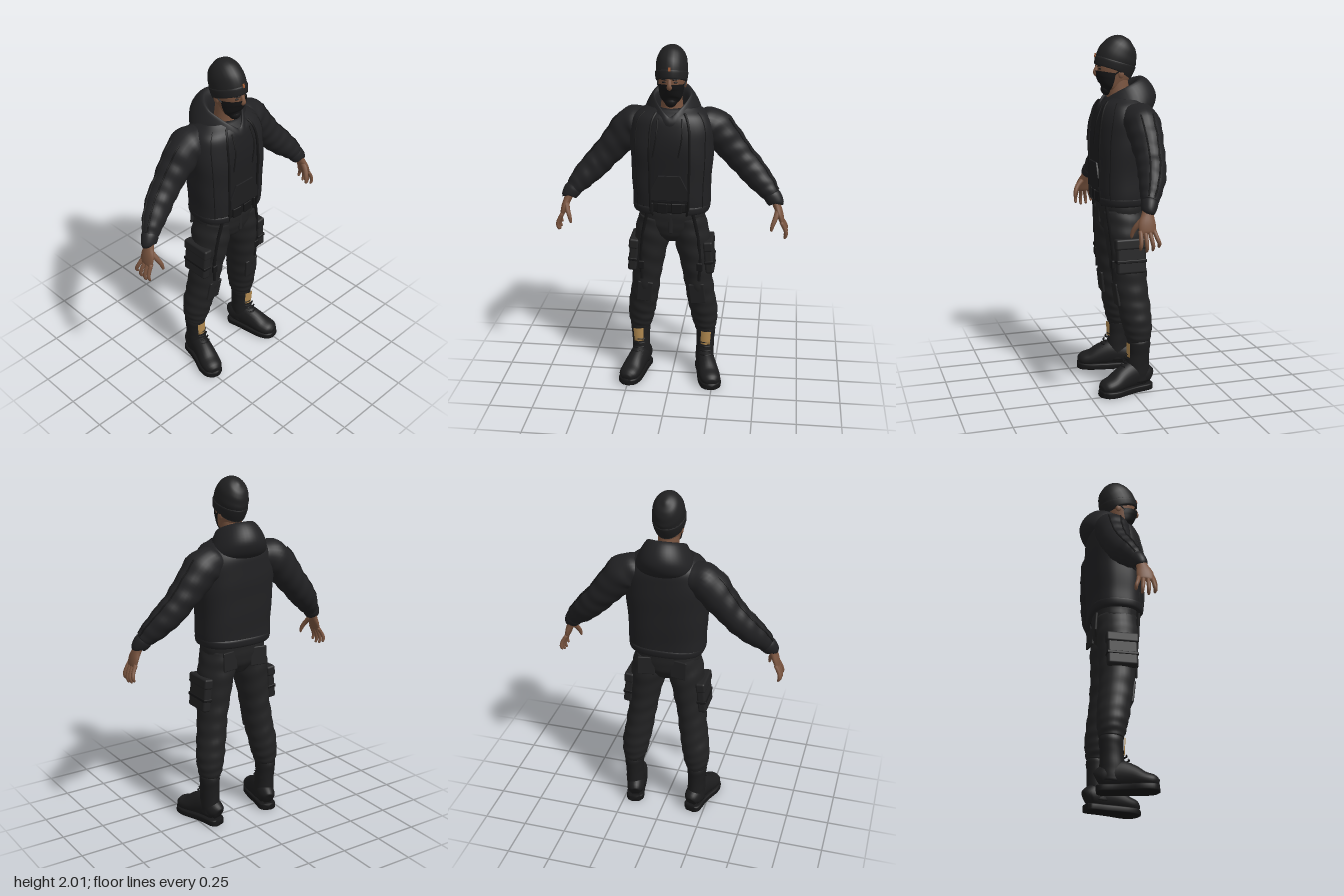
import * as THREE from 'three';
import { RoundedBoxGeometry } from 'three/addons/geometries/RoundedBoxGeometry.js';

const V = (x, y, z) => new THREE.Vector3(x, y, z);
const paint = (name, color, side = THREE.FrontSide) => {
  const m = new THREE.MeshStandardMaterial({ color, side });
  m.name = name;
  return m;
};

// Joins rows of points into a smooth surface, optionally closed round and capped.
function surface(rows, closed, capped) {
  const n = rows[0].length, pos = [], idx = [];
  rows.forEach(r => r.forEach(p => pos.push(p.x, p.y, p.z)));
  for (let i = 0; i < rows.length - 1; i++)
    for (let j = 0; j < (closed ? n : n - 1); j++) {
      const k = (j + 1) % n, a = i * n, b = a + n;
      idx.push(a + j, b + j, b + k, a + j, b + k, a + k);
    }
  if (capped) [0, rows.length - 1].forEach((r, end) => {
    const c = rows[r].reduce((s, p) => s.add(p), V(0, 0, 0)).divideScalar(n);
    const ci = pos.length / 3;
    pos.push(c.x, c.y, c.z);
    for (let j = 0; j < n; j++) {
      const p = r * n + j, q = r * n + (j + 1) % n;
      end ? idx.push(ci, q, p) : idx.push(ci, p, q);
    }
  });
  const g = new THREE.BufferGeometry();
  g.setAttribute('position', new THREE.Float32BufferAttribute(pos, 3));
  g.setIndex(idx);
  g.computeVertexNormals();
  return g;
}

// Returns point(t, angle) on a body swept through sections [x, y, z, ru, rv, roundness].
function sweep(sections, { ref = V(0, 0, 1), folds = 0, freq = 30, grow = 0 } = {}) {
  const path = new THREE.CatmullRomCurve3(sections.map(s => V(s[0], s[1], s[2])), false, 'catmullrom');
  const size = new THREE.CatmullRomCurve3(sections.map(s => V(s[3], s[4], s[5] || 2)), false, 'catmullrom');
  return (t, a) => {
    const c = path.getPoint(t), d = path.getTangent(t), r = size.getPoint(t);
    const u = d.clone().cross(ref).normalize(), v = u.clone().cross(d);
    const e = 2 / r.z, pw = x => Math.sign(x) * Math.abs(x) ** e;
    const w = 1 + folds * (Math.sin(freq * t + 2.2 * Math.sin(a + 1)) + 0.6 * Math.sin(freq * 0.57 * t + 3 * a));
    return c.addScaledVector(u, (r.x + grow) * w * pw(Math.cos(a))).addScaledVector(v, (r.y + grow) * w * pw(Math.sin(a)));
  };
}

function loft(sections, o = {}) {
  const { steps = 24, cols = 28, arc } = o, f = sweep(sections, o), [a0, a1] = arc || [0, Math.PI * 2];
  const rows = [];
  for (let i = 0; i <= steps; i++)
    rows.push(Array.from({ length: arc ? cols + 1 : cols }, (_, j) => f(i / steps, a0 + (a1 - a0) * j / cols)));
  return surface(rows, !arc, !arc);
}

const cord = (pts, r) => new THREE.TubeGeometry(new THREE.CatmullRomCurve3(pts), 24, r, 6);
const block = (w, h, d, r = 0.006) => new RoundedBoxGeometry(w, h, d, 2, r);

export function createModel() {
  const root = new THREE.Group();
  const jacket = paint('jacket cloth', 0x212123, THREE.DoubleSide);
  const hoodie = paint('hoodie cloth', 0x1d1d1f);
  const trousers = paint('trouser cloth', 0x222223);
  const gear = paint('webbing', 0x161617);
  const leather = paint('boot leather', 0x1c1c1d);
  const knit = paint('knit cap', 0x202021);
  const maskCloth = paint('mask cloth', 0x151516, THREE.DoubleSide);
  const skin = paint('skin', 0x79543f);
  const tan = paint('tan patch', 0xb48c52);
  const rust = paint('rust tag', 0x9c5630);
  const add = (name, geo, mat, p = [0, 0, 0], r = [0, 0, 0]) => {
    const m = new THREE.Mesh(geo, mat);
    m.name = name;
    m.position.set(...p);
    m.rotation.set(...r);
    root.add(m);
    return m;
  };

  // Head and neck
  add('head', loft([[0, 1.7, 0.078, 0.02, 0.03], [0, 1.725, 0.062, 0.05, 0.062], [0, 1.78, 0.046, 0.064, 0.09],
    [0, 1.83, 0.038, 0.073, 0.102], [0, 1.88, 0.03, 0.076, 0.105], [0, 1.93, 0.02, 0.06, 0.08]]), skin);
  add('neck', loft([[0, 1.56, 0.015, 0.1, 0.085], [0, 1.62, 0.015, 0.085, 0.08], [0, 1.67, 0.015, 0.062, 0.065],
    [0, 1.78, 0.025, 0.056, 0.062]]), skin);
  add('nose', loft([[0, 1.85, 0.134, 0.008, 0.008], [0, 1.82, 0.143, 0.012, 0.014], [0, 1.802, 0.145, 0.015, 0.014],
    [0, 1.79, 0.138, 0.01, 0.008]], { cols: 12, steps: 10 }), skin);
  add('mask', loft([[0, 1.7, 0.078, 0.032, 0.04], [0, 1.725, 0.064, 0.056, 0.068], [0, 1.765, 0.052, 0.067, 0.094],
    [0, 1.803, 0.046, 0.072, 0.107]], { arc: [0.05, Math.PI - 0.05] }), maskCloth);
  add('chinCover', new THREE.SphereGeometry(0.034, 16, 10), maskCloth, [0, 1.713, 0.082]);
  for (const s of [1, -1]) {
    add('eye', new THREE.SphereGeometry(0.011, 10, 6).scale(1, 0.45, 0.4), gear, [s * 0.032, 1.828, 0.131], [0, s * 0.35, 0]);
    add('eyebrow', block(0.034, 0.007, 0.008, 0.003), gear, [s * 0.032, 1.844, 0.134], [0, s * 0.35, s * 0.1]);
    add('ear', new THREE.SphereGeometry(0.022, 12, 8).scale(0.4, 1.1, 0.8), skin, [s * 0.073, 1.8, 0.02]);
    add('maskStrap', cord([V(s * 0.072, 1.795, 0.06), V(s * 0.076, 1.81, 0.04), V(s * 0.077, 1.825, 0.02)], 0.004), maskCloth);
  }

  // Knit cap
  const cap = [[0, 1.822, 0.042, 0.08, 0.108], [0, 1.868, 0.03, 0.086, 0.116], [0, 1.91, 0.008, 0.085, 0.111],
    [0, 1.945, -0.018, 0.073, 0.091], [0, 1.968, -0.038, 0.049, 0.06], [0, 1.98, -0.05, 0.01, 0.012]];
  add('cap', loft(cap, { folds: 0.006, freq: 22 }), knit);
  add('capBrim', loft([[0, 1.818, 0.044, 0.08, 0.106], [0, 1.824, 0.042, 0.086, 0.113], [0, 1.86, 0.032, 0.09, 0.119],
    [0, 1.867, 0.03, 0.084, 0.113]], { steps: 12 }), knit);
  add('capTag', block(0.012, 0.022, 0.006, 0.002), rust, [0, 1.902, 0.148], [-0.28, 0, 0]);

  // Torso: hoodie inside an open jacket
  const torso = [[0, 1.075, 0.01, 0.2, 0.135, 2.5], [0, 1.1, 0.01, 0.216, 0.15, 2.6], [0, 1.2, 0.01, 0.22, 0.156, 2.6],
    [0, 1.33, 0.006, 0.226, 0.16, 2.6], [0, 1.45, 0.003, 0.234, 0.163, 2.5], [0, 1.55, -0.005, 0.232, 0.156, 2.4],
    [0, 1.62, -0.012, 0.205, 0.14, 2.3], [0, 1.665, -0.015, 0.15, 0.1, 2.2]];
  const open = { arc: [Math.PI / 2 + 0.4, Math.PI * 2.5 - 0.4], folds: 0.006, freq: 26, steps: 40, cols: 56 };
  add('hoodie', loft(torso.map(s => [s[0], Math.max(s[1], 1.15), ...s.slice(2)]).slice(1), { grow: -0.007, cols: 48 }), hoodie);
  add('jacket', loft(torso, open), jacket);
  const edge = sweep(torso, open);
  for (const s of [1, -1]) {
    const line = a => Array.from({ length: 14 }, (_, i) => edge(i / 14, a));
    add('jacketZip', cord(line(Math.PI / 2 - s * 0.4), 0.007), gear);
    add('sideSeam', cord(line(Math.PI / 2 - s * 0.9), 0.003), gear);
    add('drawstring', cord([V(s * 0.065, 1.63, 0.13), V(s * 0.07, 1.54, 0.163), V(s > 0 ? 0.05 : -0.09, 1.42, 0.172)], 0.004), gear);
  }
  add('jacketHem', loft([[0, 1.075, 0.01, 0.2, 0.138, 2.5], [0, 1.085, 0.01, 0.214, 0.152, 2.6],
    [0, 1.115, 0.01, 0.219, 0.157, 2.6], [0, 1.125, 0.01, 0.215, 0.152, 2.6]],
  { arc: open.arc, steps: 8, cols: 48 }), jacket);
  const pouch = new THREE.Shape([[-0.1, 0], [0.1, 0], [0.1, 0.06], [0.06, 0.14], [-0.06, 0.14], [-0.1, 0.06]].map(p => new THREE.Vector2(...p)));
  add('frontPocket', new THREE.ExtrudeGeometry(pouch, { depth: 0.01, bevelSize: 0.003, bevelThickness: 0.003, bevelSegments: 2 }),
    hoodie, [0, 1.17, 0.153]);

  // Hood lying on the shoulders: rings [half width, back z, front z, back y, front y]
  const hood = new THREE.CatmullRomCurve3([]), rings = [[0.175, -0.14, 0.13, 1.57, 1.55], [0.172, -0.185, 0.137, 1.62, 1.575],
    [0.155, -0.2, 0.138, 1.68, 1.6], [0.13, -0.17, 0.13, 1.745, 1.62], [0.104, -0.12, 0.118, 1.782, 1.632],
    [0.09, -0.085, 0.106, 1.755, 1.625], [0.088, -0.07, 0.1, 1.66, 1.59]];
  const hoodRows = Array.from({ length: 40 }, (_, j) => {
    const a = j / 40 * Math.PI * 2, back = (1 - Math.sin(a)) / 2;
    hood.points = rings.map(([w, zb, zf, yb, yf]) => V(w * Math.cos(a) * (1 - 0.25 * Math.max(0, Math.sin(a))),
      yf + (yb - yf) * back ** 0.6, (zf + zb) / 2 + (zf - zb) / 2 * Math.sin(a)));
    return hood.getPoints(24);
  });
  add('hood', surface(hoodRows[0].map((_, i) => hoodRows.map(r => r[i])), true, false), jacket);

  // Hips and belt
  add('hips', loft([[0, 0.9, 0, 0.07, 0.075], [0, 0.95, 0.005, 0.15, 0.112], [0, 1.02, 0.008, 0.186, 0.125, 2.3],
    [0, 1.1, 0.01, 0.186, 0.127, 2.4], [0, 1.16, 0.01, 0.18, 0.125, 2.4]], { folds: 0.008 }), trousers);
  add('belt', loft([[0, 1.09, 0.01, 0.188, 0.13, 2.4], [0, 1.095, 0.01, 0.195, 0.136, 2.4], [0, 1.14, 0.01, 0.195, 0.136, 2.4],
    [0, 1.145, 0.01, 0.188, 0.13, 2.4]], { steps: 8 }), gear);
  for (const x of [-0.12, -0.04, 0.04, 0.12])
    add('beltPouch', block(0.06, 0.06, 0.022), gear, [x, 1.118, 0.148 - Math.abs(x) * 0.12], [0, x * 2, 0]);
  add('fly', block(0.022, 0.12, 0.014), trousers, [0.005, 1.02, 0.13]);

  for (const s of [1, -1]) {
    const mir = rows => rows.map(([x, ...r]) => [s * x, ...r]);

    // Sleeve
    const arm = mir([[0.14, 1.575, -0.03, 0.075, 0.09], [0.225, 1.545, -0.048, 0.1, 0.1], [0.305, 1.458, -0.052, 0.092, 0.09],
      [0.38, 1.37, -0.047, 0.081, 0.08], [0.45, 1.295, -0.032, 0.077, 0.075], [0.52, 1.222, -0.002, 0.064, 0.06],
      [0.565, 1.172, 0.022, 0.047, 0.043]]);
    const creased = { folds: 0.024, freq: 48, steps: 56 };
    add('sleeve', loft(arm, creased), jacket);
    add('cuff', loft(mir([[0.556, 1.182, 0.018, 0.046, 0.043], [0.57, 1.164, 0.024, 0.05, 0.045],
      [0.588, 1.138, 0.034, 0.044, 0.039], [0.59, 1.132, 0.036, 0.036, 0.032]]), { steps: 10 }), jacket);
    const f = sweep(arm, creased), out = s > 0 ? Math.PI : 0;
    for (const a of [-0.35, 0.35])
      add('sleeveStripe', cord(Array.from({ length: 40 }, (_, i) => f(0.2 + i / 50, out + a)), 0.005), gear);

    // Hand
    add('palm', loft(mir([[0.582, 1.15, 0.033, 0.025, 0.03], [0.596, 1.115, 0.042, 0.022, 0.034], [0.612, 1.075, 0.05, 0.019, 0.046],
      [0.624, 1.035, 0.052, 0.014, 0.044], [0.628, 1.024, 0.052, 0.007, 0.036]]), { steps: 14, cols: 18 }), skin);
    [0.8, 0.95, 1, 0.88].forEach((l, i) => {
      const z = 0.016 + i * 0.024, zt = -0.004 + i * 0.033;
      add('finger', loft(mir([[0.621, 1.04, z, 0.011, 0.012], [0.642, 1.04 - 0.045 * l, (z + zt) / 2, 0.011, 0.011],
        [0.65, 1.04 - 0.08 * l, zt, 0.01, 0.01], [0.642, 1.04 - 0.104 * l, zt, 0.007, 0.007],
        [0.64, 1.04 - 0.108 * l, zt, 0.002, 0.002]]), { steps: 12, cols: 10 }), skin);
    });
    add('thumb', loft(mir([[0.6, 1.1, 0.062, 0.016, 0.018], [0.588, 1.065, 0.095, 0.014, 0.015], [0.574, 1.03, 0.114, 0.012, 0.012],
      [0.568, 1.0, 0.12, 0.007, 0.007], [0.567, 0.996, 0.12, 0.002, 0.002]]), { steps: 12, cols: 10 }), skin);

    // Trouser leg with cargo pocket and strap
    add('trouserLeg', loft(mir([[0.095, 1.04, 0.008, 0.09, 0.118], [0.112, 0.92, 0.008, 0.102, 0.118], [0.131, 0.78, 0.003, 0.089, 0.107],
      [0.15, 0.65, -0.005, 0.083, 0.1], [0.166, 0.53, -0.02, 0.082, 0.094], [0.183, 0.43, -0.035, 0.081, 0.088],
      [0.191, 0.355, -0.043, 0.074, 0.079], [0.195, 0.3, -0.046, 0.06, 0.067]]), { folds: 0.02, freq: 56, steps: 70 }), trousers);
    const tilt = [0, 0, s * 0.1];
    add('cargoPocket', block(0.05, 0.18, 0.17, 0.014), trousers, [s * 0.217, 0.795, 0.01], tilt);
    add('pocketFlap', block(0.055, 0.06, 0.182, 0.012), trousers, [s * 0.213, 0.872, 0.01], tilt);
    add('pocketBand', block(0.055, 0.018, 0.176, 0.005), gear, [s * 0.22, 0.775, 0.01], tilt);
    add('strap', cord([V(s * 0.125, 1.1, 0.125), V(s * 0.155, 0.95, 0.112), V(s * 0.168, 0.8, 0.098), V(s * 0.165, 0.66, 0.094)], 0.01), gear);
    add('strapBuckle', block(0.034, 0.05, 0.02), gear, [s * 0.168, 0.75, 0.1]);
    add('backPocket', block(0.1, 0.11, 0.014), trousers, [s * 0.095, 1.0, -0.113], [0.06, s * 0.2, 0]);
    add('kneePatch', block(0.09, 0.13, 0.016), trousers, [s * 0.153, 0.57, 0.076], [0.13, 0, s * 0.1]);

    // Boot
    add('bootShaft', loft(mir([[0.192, 0.06, -0.042, 0.052, 0.07], [0.193, 0.13, -0.04, 0.053, 0.069], [0.195, 0.22, -0.045, 0.053, 0.063],
      [0.197, 0.285, -0.047, 0.057, 0.066], [0.197, 0.31, -0.047, 0.05, 0.058]]), { folds: 0.008 }), leather);
    const along = { ref: V(0, 1, 0), steps: 24 };
    add('bootFoot', loft(mir([[0.176, 0.07, -0.115, 0.03, 0.04], [0.182, 0.085, -0.09, 0.05, 0.06], [0.195, 0.1, -0.02, 0.053, 0.08],
      [0.212, 0.088, 0.05, 0.057, 0.07], [0.232, 0.066, 0.115, 0.062, 0.05], [0.246, 0.057, 0.165, 0.055, 0.04],
      [0.253, 0.05, 0.193, 0.028, 0.02]]), along), leather);
    add('sole', loft(mir([[0.174, 0.021, -0.12, 0.032, 0.02, 5], [0.181, 0.021, -0.095, 0.052, 0.021, 5], [0.198, 0.021, -0.02, 0.053, 0.021, 5],
      [0.215, 0.021, 0.05, 0.06, 0.021, 5], [0.235, 0.021, 0.115, 0.067, 0.021, 5], [0.248, 0.022, 0.17, 0.056, 0.021, 5],
      [0.255, 0.024, 0.198, 0.028, 0.018, 4]]), along), gear);
    for (let i = 0; i < 5; i++)
      add('lace', cord([-0.032, 0, 0.032].map(d => V(s * (0.205 - i * 0.002 + d), 0.135 + i * 0.022, 0.072 - i * 0.0125 - Math.abs(d) * 0.4)), 0.005), gear);
    add('bootPatch', loft(mir([[0.199, 0.205, -0.045, 0.055, 0.069], [0.203, 0.295, -0.046, 0.06, 0.074]]),
      { arc: [1.05, 2.1], cols: 10, steps: 4 }), tan);
  }
  return root;
}
